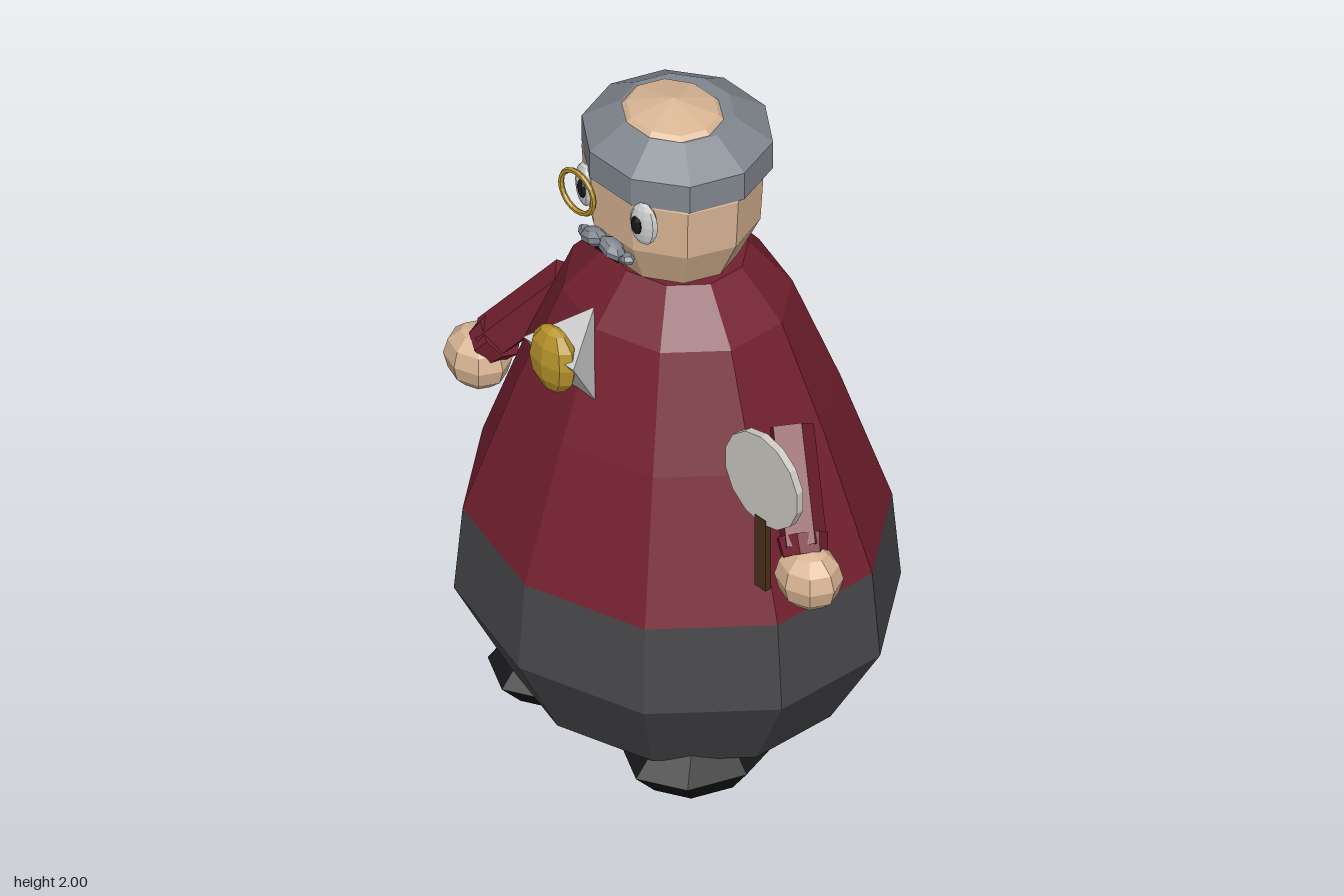
import * as THREE from 'three';
import { ConvexGeometry } from 'three/addons/geometries/ConvexGeometry.js';

const CX = -0.03; // the figure's own centre line

const mat = (color) => new THREE.MeshStandardMaterial({ color, flatShading: true });
const M = {
  coat: mat(0x74202f), trousers: mat(0x48484c), skin: mat(0xd9b594), hair: mat(0x80868e),
  shoe: mat(0x18181a), brass: mat(0xb8942c), white: mat(0xe2e2e2), black: mat(0x16161a),
  silver: mat(0xc4c4c4), disc: mat(0xccc9c2), wood: mat(0x4a2f1c),
};

export function createModel() {
  const model = new THREE.Group();
  model.name = 'stoutGentleman';

  const add = (name, geometry, material, x = 0, y = 0, z = 0) => {
    const mesh = new THREE.Mesh(geometry, material);
    mesh.name = name;
    mesh.position.set(x, y, z);
    model.add(mesh);
    return mesh;
  };
  // ten-sided turned shape; turn = PI / 10 puts a flat side to the front
  const turned = (name, profile, material, sx, sz, z = 0, turn = 0) => {
    const points = profile.map(([r, y]) => new THREE.Vector2(r, y));
    const mesh = add(name, new THREE.LatheGeometry(points, 10, turn), material, CX, 0, z);
    mesh.scale.set(sx, 1, sz);
    return mesh;
  };
  const ball = (name, material, pos, size, sides = 8, rings = 6) => {
    const mesh = add(name, new THREE.SphereGeometry(1, sides, rings), material, ...pos);
    mesh.scale.set(...size);
    return mesh;
  };
  // prism between two points
  const rod = (name, material, a, b, r0, r1, sides) => {
    const from = new THREE.Vector3(...a), to = new THREE.Vector3(...b);
    const dir = to.clone().sub(from);
    const mesh = add(name, new THREE.CylinderGeometry(r1, r0, dir.length(), sides), material);
    mesh.position.copy(from).add(to).multiplyScalar(0.5);
    mesh.quaternion.setFromUnitVectors(new THREE.Vector3(0, 1, 0), dir.normalize());
    return mesh;
  };

  // Body
  turned('trousers', [[0, 0.15], [0.423, 0.15], [0.56, 0.41], [0.538, 0.67]], M.trousers, 1.118, 1);
  turned('coat', [[0.538, 0.67], [0.408, 1.065], [0.288, 1.38], [0.178, 1.515], [0, 1.515]], M.coat, 1.118, 1);

  // Head, with the bald crown rising through the hair
  turned('head', [[0, 1.495], [0.185, 1.525], [0.246, 1.65], [0.255, 1.8], [0.215, 1.89], [0.13, 1.968], [0, 2]],
    M.skin, 1, 0.89, 0.017, Math.PI / 10);
  turned('hair', [[0.2, 1.805], [0.26, 1.805], [0.26, 1.89], [0.155, 1.956], [0, 1.956]],
    M.hair, 1, 0.955, 0, Math.PI / 10);

  // Mirrored parts, placed outward from the centre line
  for (const s of [1, -1]) {
    const side = s > 0 ? 'left' : 'right';
    const at = (x) => CX + s * x;

    ball(side + 'Eye', M.white, [at(0.115), 1.757, 0.222], [0.042, 0.066, 0.02], 10, 8).rotation.y = s * 0.3;
    ball(side + 'Pupil', M.black, [at(0.107), 1.757, 0.238], [0.02, 0.03, 0.012], 8, 6).rotation.y = s * 0.3;

    // moustache: a full inner lobe and a drooping tip
    ball(side + 'Moustache', M.hair, [at(0.035), 1.652, 0.262], [0.045, 0.026, 0.03], 7, 5).rotation.z = -s * 0.25;
    ball(side + 'MoustacheTip', M.hair, [at(0.075), 1.635, 0.25], [0.032, 0.017, 0.02], 6, 4).rotation.z = s * 0.2;

    rod(side + 'Sleeve', M.coat, [at(0.425), 1.15, -0.01], [at(0.605), 0.915, 0.105], 0.064, 0.064, 5);
    rod(side + 'Cuff', M.coat, [at(0.583), 0.935, 0.093], [at(0.615), 0.895, 0.112], 0.07, 0.062, 7);
    ball(side + 'Hand', M.skin, [at(0.642), 0.847, 0.12], [0.098, 0.09, 0.084], 8, 6);
    ball(side + 'Shoe', M.shoe, [at(0.26), 0.1, 0.157], [0.18, 0.1, 0.225], 8, 4);
  }

  add('mouth', new THREE.BoxGeometry(0.09, 0.018, 0.03), M.black, CX, 1.61, 0.235);
  add('monocle', new THREE.TorusGeometry(0.063, 0.008, 6, 20), M.brass, -0.135, 1.755, 0.257);

  // Neck ornament
  const corners = [[0, 1.455, 0.293], [0.098, 1.385, 0.455], [-0.098, 1.385, 0.455],
    [0.055, 1.205, 0.34], [-0.055, 1.205, 0.34]];
  add('jabot', new ConvexGeometry(corners.map((c) => new THREE.Vector3(...c))), M.silver, CX);
  ball('brooch', M.brass, [CX, 1.362, 0.437], [0.083, 0.102, 0.044], 8, 6);

  // Hand paddle
  const disc = add('paddleDisc', new THREE.CylinderGeometry(0.142, 0.142, 0.022, 14), M.disc, 0.623, 1.257, 0.287);
  disc.rotation.x = Math.PI / 2;
  add('paddleHandle', new THREE.BoxGeometry(0.042, 0.23, 0.02), M.wood, 0.621, 1.02, 0.29);

  return model;
}
